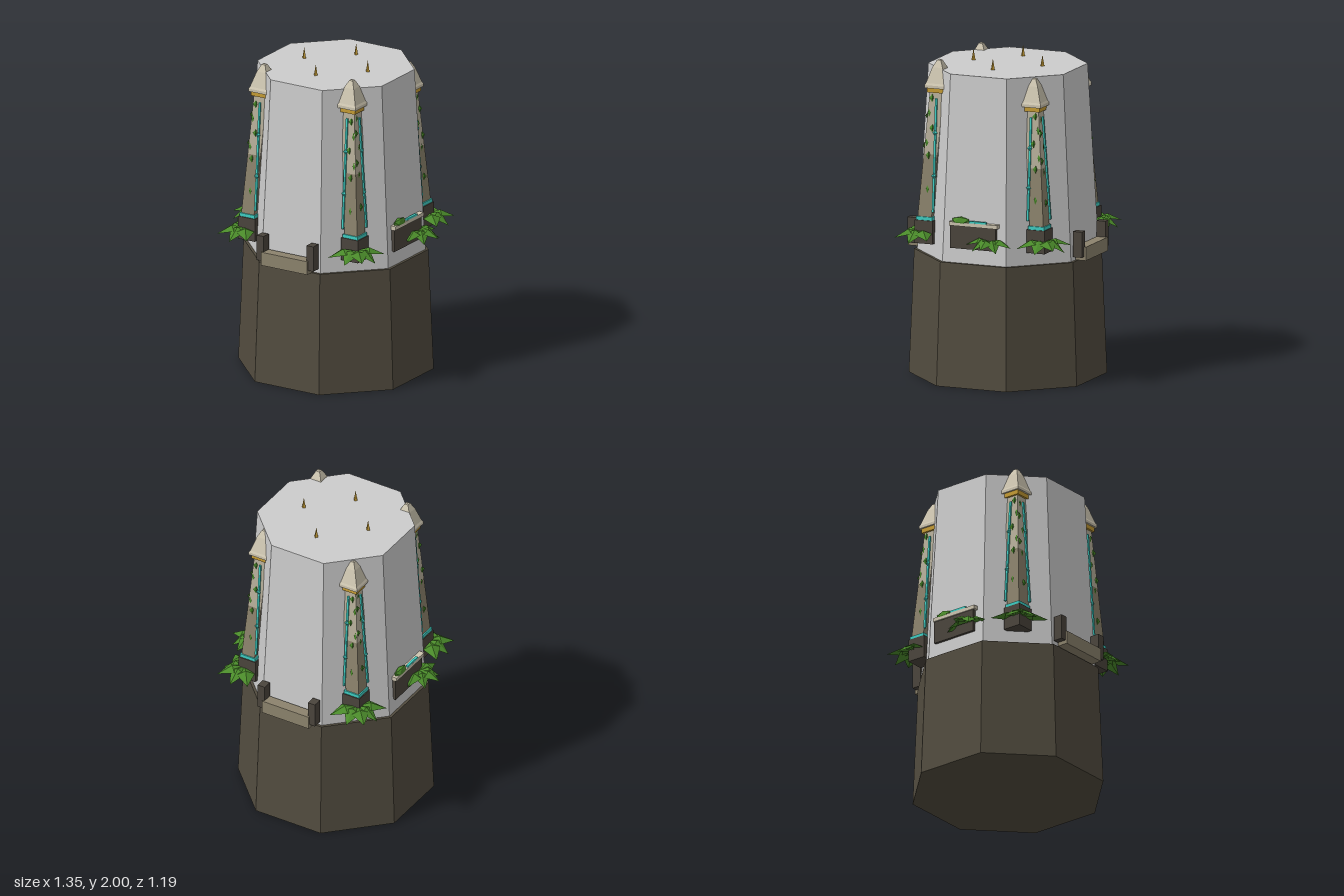
import * as THREE from 'three';

const mat = (name, color) => {
  const m = new THREE.MeshStandardMaterial({ color, flatShading: true });
  m.name = name;
  return m;
};

export function createModel() {
  const M = {
    body: mat('pale grey', 0xcccccc),
    base: mat('dark earth', 0x524c3f),
    dark: mat('dark stone', 0x4b453d),
    stone: mat('worn stone', 0x8c836d),
    light: mat('light stone', 0xb8b09b),
    cap: mat('cap stone', 0xcdc5b0),
    gold: mat('gold', 0xc69c34),
    teal: mat('teal glow', 0x3fcfc4),
    leaf: mat('leaf green', 0x4a8a2a),
  };
  M.leaf.side = THREE.DoubleSide;

  const root = new THREE.Group();
  root.name = 'tower';
  root.position.set(0.012, 0, -0.006);

  const add = (parent, name, geo, material, x = 0, y = 0, z = 0) => {
    const m = new THREE.Mesh(geo, material);
    m.name = name;
    m.position.set(x, y, z);
    parent.add(m);
    return m;
  };
  const group = (name) => {
    const g = new THREE.Group();
    g.name = name;
    root.add(g);
    return g;
  };
  const box = (parent, name, material, w, h, d, x, y, z) =>
    add(parent, name, new THREE.BoxGeometry(w, h, d), material, x, y, z);

  // Leaning box: [x, z] centres at the bottom and top heights
  const leaning = (parent, name, material, w, d, y0, c0, y1, c1) => {
    const geo = new THREE.BoxGeometry(w, y1 - y0, d);
    const p = geo.attributes.position;
    for (let i = 0; i < p.count; i++) {
      const up = p.getY(i) > 0;
      const c = up ? c1 : c0;
      p.setXYZ(i, p.getX(i) + c[0], up ? y1 : y0, p.getZ(i) + c[1]);
    }
    return add(parent, name, geo, material);
  };

  // Octagonal frustum measured across its flats
  const octagon = (name, material, y0, a0, y1, a1) => {
    const k = 1 / Math.cos(Math.PI / 8);
    const geo = new THREE.CylinderGeometry(a1 * k, a0 * k, y1 - y0, 8).rotateY(Math.PI / 8);
    add(root, name, geo, material, 0, (y0 + y1) / 2, 0);
  };
  octagon('body', M.body, 0.002, 0.555, 1.93, 0.45);
  octagon('base', M.base, 0, 0.56, 0.77, 0.53);

  // Folded leaf pointing along +z, with a raised midrib and drooping tip
  const leafGeo = (l, w, rise, droop) => {
    const b = [0, 0, 0], m = [0, rise, l * 0.45], t = [0, -droop, l];
    const L = [-w, -rise * 0.3, l * 0.45], R = [w, -rise * 0.3, l * 0.45];
    const geo = new THREE.BufferGeometry();
    geo.setAttribute('position', new THREE.Float32BufferAttribute(
      [b, L, m, b, m, R, L, t, m, m, t, R].flat(), 3));
    geo.computeVertexNormals();
    return geo;
  };
  const fern = (parent, x, y, z, yaw, size) => {
    [[-85, 0.18], [-42, 0.145], [0, 0.17], [40, 0.15], [82, 0.18]].forEach(([a, l], i) => {
      const m = add(parent, 'fernLeaf', leafGeo(l * size, 0.055 * size, 0.018, i % 2 ? 0.055 : 0.03),
        M.leaf, x, y, z);
      m.rotation.y = yaw + THREE.MathUtils.degToRad(a);
    });
  };

  // Leaning corner pillars; h is the height of the gold band
  const pillar = (name, sx, sz, h) => {
    const g = group(name);
    const lean = (y) => THREE.MathUtils.lerp(0.373, 0.317, (y - 1.02) / (h - 1.02));
    const at = (y) => [sx * lean(y), sz * lean(y)];
    const [bx, bz] = at(1.02);
    const [tx, tz] = at(h);
    const mid = 1.02 + (h - 1.02) * 0.5;
    box(g, 'pillarFoot', M.dark, 0.12, 0.145, 0.12, bx, 0.925, bz);
    box(g, 'footBand', M.teal, 0.108, 0.022, 0.108, bx, 1.008, bz);
    leaning(g, 'lowerShaft', M.stone, 0.092, 0.092, 1.019, at(1.02), mid, at(mid));
    leaning(g, 'upperShaft', M.light, 0.092, 0.092, mid, at(mid), h, at(h));
    box(g, 'goldBand', M.gold, 0.118, 0.03, 0.118, tx, h + 0.012, tz);
    box(g, 'capSlab', M.cap, 0.142, 0.018, 0.142, tx, h + 0.034, tz);
    // Stepped four-sided cap
    const r = Math.SQRT2;
    const profile = [[0.071, 0.043], [0.064, 0.055], [0.034, 0.15], [0.013, 0.193], [0, 0.2]]
      .map(([x, y]) => new THREE.Vector2(x * r, y));
    add(g, 'capSpire', new THREE.LatheGeometry(profile, 4).rotateY(Math.PI / 4), M.cap, tx, h, tz);

    // Glowing strips and ivy on the two outer faces
    for (const axis of [0, 1]) {
      const pos = (u, n) => (axis ? [sx * n, sz * u] : [sx * u, sz * n]);
      const u = 0.316;
      const n0 = lean(1.06) + 0.05, n1 = lean(h - 0.04) + 0.05;
      const w = axis ? 0.012 : 0.013, d = axis ? 0.013 : 0.012;
      leaning(g, 'glowStrip', M.teal, w, d, 1.05, pos(u, n0), h - 0.04, pos(u, n1));
      for (const f of [0.33, 0.675]) {
        const y = 1.02 + (h - 1.02) * f;
        const [x, z] = pos(u, lean(y) + 0.054);
        const gem = add(g, 'glowGem', new THREE.OctahedronGeometry(0.02), M.teal, x, y, z);
        gem.scale.set(axis ? 0.5 : 0.8, 1, axis ? 0.8 : 0.5);
      }
      const yaw = axis ? sx * Math.PI / 2 : (sz > 0 ? 0 : Math.PI);
      [[0.025, 0.93], [0.037, 0.81], [0.005, 0.69], [0.035, 0.57], [0.012, 0.47], [0.0, 0.2]]
        .forEach(([du, f], i) => {
          const y = 1.02 + (h - 1.02) * f + (axis ? 0.02 : 0);
          const [x, z] = pos(lean(y) + du, lean(y) + 0.048);
          const m = add(g, 'ivyLeaf', leafGeo(0.05, 0.018, 0.008, 0), M.leaf, x, y + 0.02, z);
          m.rotation.set(Math.PI / 2, yaw, (i % 2 ? 0.6 : -0.5), 'YXZ');
        });
    }
    fern(g, sx * 0.405, 0.925, sz * 0.41, Math.atan2(sx, sz), 1);
  };
  pillar('frontLeftPillar', 1, 1, 1.79);
  pillar('frontRightPillar', -1, 1, 1.775);
  pillar('backLeftPillar', 1, -1, 1.725);
  pillar('backRightPillar', -1, -1, 1.725);

  for (const s of [1, -1]) {
    // Railings on the front and back ledges
    const rail = group(s > 0 ? 'frontRailing' : 'backRailing');
    box(rail, 'railPanel', M.stone, 0.335, 0.085, 0.07, 0, 0.818, s * 0.558);
    for (const x of [-0.18, 0.18]) box(rail, 'railPost', M.dark, 0.05, 0.16, 0.06, x, 0.88, s * 0.552);

    // Planters on the sides, turned half way round from each other
    const planter = group(s > 0 ? 'leftPlanter' : 'rightPlanter');
    box(planter, 'planterBox', M.dark, 0.07, 0.145, 0.305, 0.49, 0.935, 0.006);
    box(planter, 'planterLip', M.cap, 0.075, 0.024, 0.322, 0.496, 1.016, 0);
    box(planter, 'planterGlow', M.teal, 0.016, 0.012, 0.115, 0.525, 1.034, -0.03);
    const bush = add(planter, 'planterBush', new THREE.IcosahedronGeometry(0.06, 0), M.leaf, 0.515, 1.03, 0.09);
    bush.scale.set(0.4, 0.55, 1.1);
    fern(planter, 0.53, 0.925, -0.11, Math.PI / 2, 0.85);
    if (s < 0) planter.rotation.y = Math.PI;
  }

  // Gold spikes on the roof
  for (let i = 0; i < 4; i++) {
    const a = (i * Math.PI) / 2;
    add(root, 'roofSpike', new THREE.ConeGeometry(0.013, 0.07, 4), M.gold,
      0.23 * Math.sin(a), 1.965, 0.23 * Math.cos(a));
  }
  return root;
}
